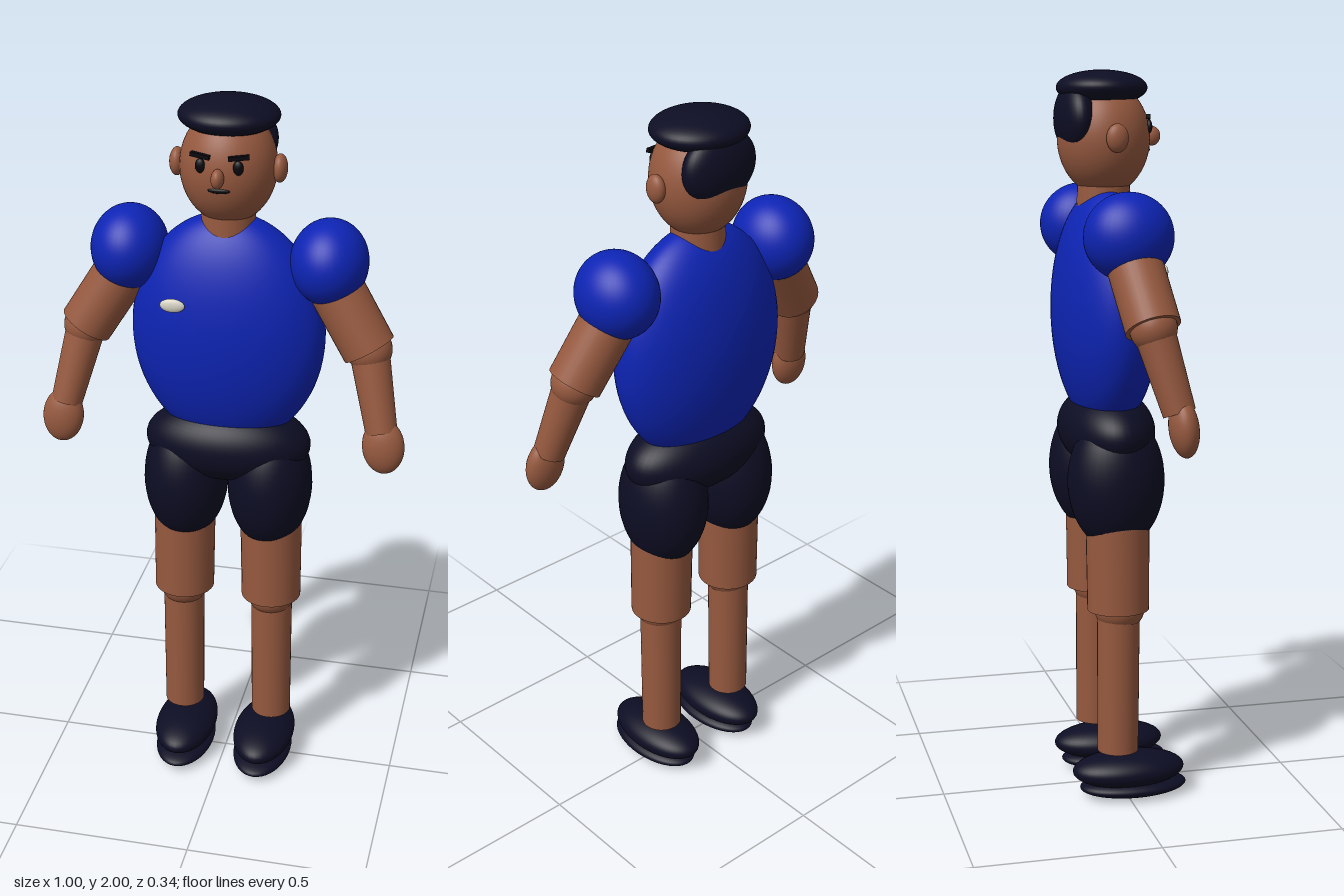
import * as THREE from 'three';

const mat = (name, color) => {
  const m = new THREE.MeshStandardMaterial({ color });
  m.name = name;
  return m;
};

export function createModel() {
  const skin = mat('skin', 0x96593f);
  const shirt = mat('shirt blue', 0x0d24b4);
  const navy = mat('navy', 0x0d0d24);
  const black = mat('black', 0x08080e);
  const cream = mat('cream', 0xd8d5c6);

  const model = new THREE.Group();
  model.name = 'standingMan';

  const add = (parent, name, geometry, material) => {
    const mesh = new THREE.Mesh(geometry, material);
    mesh.name = name;
    parent.add(mesh);
    return mesh;
  };
  // Ellipsoid from centre and three radii
  const blob = (parent, name, material, center, radii, segments = 40) => {
    const mesh = add(parent, name, new THREE.SphereGeometry(1, segments, Math.round(segments * 0.7)), material);
    mesh.position.set(...center);
    mesh.scale.set(...radii);
    return mesh;
  };
  // Tapered cylinder running from point a to point b
  const limb = (parent, name, material, a, b, ra, rb) => {
    const from = new THREE.Vector3(...a), to = new THREE.Vector3(...b);
    const dir = to.clone().sub(from);
    const mesh = add(parent, name, new THREE.CylinderGeometry(rb, ra, dir.length(), 32), material);
    mesh.position.copy(from).addScaledVector(dir, 0.5);
    mesh.quaternion.setFromUnitVectors(new THREE.Vector3(0, 1, 0), dir.normalize());
    return mesh;
  };
  const group = (name) => {
    const g = new THREE.Group();
    g.name = name;
    model.add(g);
    return g;
  };

  // Torso and pelvis
  const body = group('body');
  blob(body, 'torso', shirt, [0, 1.357, -0.033], [0.265, 0.335, 0.14], 56);
  blob(body, 'pelvis', navy, [0, 1.03, -0.03], [0.232, 0.114, 0.128], 48);
  blob(body, 'chestBadge', cream, [-0.122, 1.47, 0.1], [0.034, 0.019, 0.01], 20);
  limb(body, 'neck', skin, [0, 1.58, -0.035], [0, 1.73, -0.035], 0.075, 0.07);

  // Head and hair
  const head = group('head');
  blob(head, 'skull', skin, [0, 1.82, -0.035], [0.128, 0.153, 0.125], 48);
  blob(head, 'hairTop', navy, [0, 1.953, -0.04], [0.133, 0.047, 0.122]);
  blob(head, 'hairBack', navy, [0, 1.872, -0.114], [0.115, 0.097, 0.053]);
  blob(head, 'nose', skin, [0, 1.825, 0.1], [0.017, 0.026, 0.023], 20);
  blob(head, 'mouth', black, [0, 1.789, 0.083], [0.03, 0.008, 0.008], 20);

  for (const s of [-1, 1]) {
    const side = s > 0 ? 'left' : 'right';

    // Face details
    blob(head, side + 'Ear', skin, [s * 0.136, 1.822, -0.03], [0.02, 0.038, 0.03], 24);
    blob(head, side + 'Eye', black, [s * 0.049, 1.85, 0.078], [0.014, 0.019, 0.009], 20);
    const brow = add(head, side + 'Brow', new THREE.BoxGeometry(0.054, 0.011, 0.012), black);
    brow.position.set(s * 0.05, 1.876, 0.076);
    brow.rotation.set(0, s * 0.25, s * 0.08);

    // Arm
    const arm = group(side + 'Arm');
    const elbow = [s * 0.388, 1.352, 0];
    const wrist = [s * 0.437, 1.14, 0.056];
    blob(arm, 'sleeve', shirt, [s * 0.27, 1.575, -0.034], [0.104, 0.115, 0.119]);
    limb(arm, 'upperArm', skin, [s * 0.27, 1.54, -0.03], elbow, 0.074, 0.073);
    blob(arm, 'elbow', skin, elbow, [0.062, 0.062, 0.062], 28);
    limb(arm, 'forearm', skin, elbow, wrist, 0.054, 0.043);
    const hand = blob(arm, 'hand', skin, [s * 0.445, 1.102, 0.066], [0.057, 0.077, 0.038], 32);
    hand.rotation.set(-0.1, 0, s * 0.1);

    // Leg
    const leg = group(side + 'Leg');
    blob(leg, 'shortsLeg', navy, [s * 0.12, 0.905, -0.03], [0.118, 0.192, 0.133]);
    limb(leg, 'thigh', skin, [s * 0.124, 0.9, -0.028], [s * 0.128, 0.545, -0.026], 0.088, 0.085);
    blob(leg, 'knee', skin, [s * 0.129, 0.552, -0.023], [0.071, 0.068, 0.071], 28);
    limb(leg, 'shin', skin, [s * 0.13, 0.55, -0.026], [s * 0.132, 0.14, -0.028], 0.059, 0.057);

    // Shoe
    blob(leg, 'shoeUpper', navy, [s * 0.119, 0.077, 0.006], [0.088, 0.05, 0.159]);
    blob(leg, 'shoeSole', navy, [s * 0.118, 0.028, 0.02], [0.084, 0.028, 0.152]);
  }
  return model;
}
